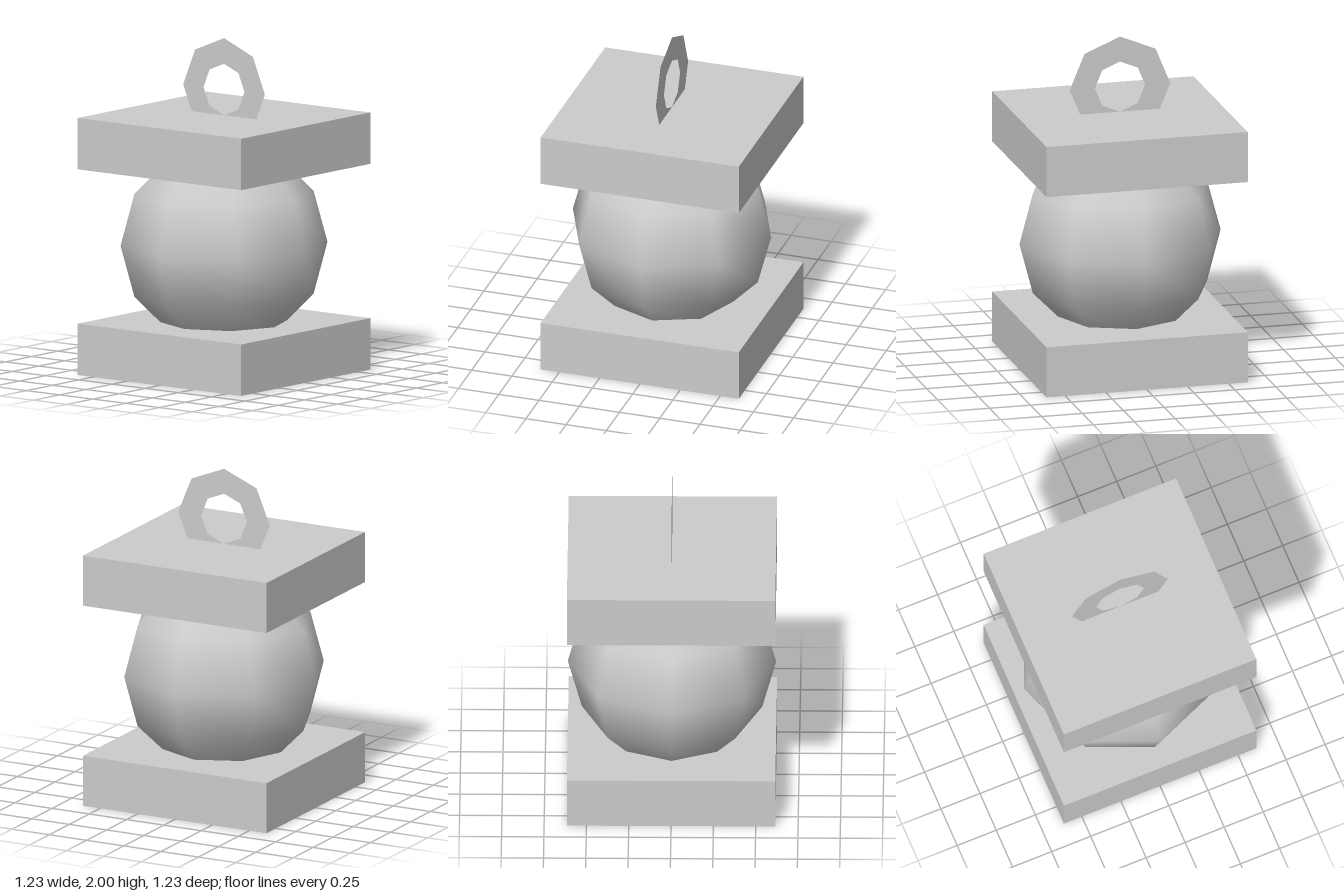
import * as THREE from 'three';

export function createModel() {
  const model = new THREE.Group();
  const u = 2 / 6.5; // one plate thickness
  const material = new THREE.MeshStandardMaterial({ color: 0xcccccc });
  const thinMaterial = new THREE.MeshStandardMaterial({ color: 0xcccccc, side: THREE.DoubleSide });

  function add(name, geometry, y, mat = material) {
    const mesh = new THREE.Mesh(geometry, mat);
    mesh.name = name;
    mesh.position.y = y * u;
    model.add(mesh);
  }

  // Square plates below and above the ball
  add('basePlate', new THREE.BoxGeometry(4 * u, u, 4 * u), 0.5);
  add('topPlate', new THREE.BoxGeometry(4 * u, u, 4 * u), 4.5);

  // Coarse smooth-shaded ball, its poles sunk into both plates
  add('ball', new THREE.SphereGeometry(2 * u, 8, 6), 2.5);

  // Paper-thin octagonal hanging ring, its lower edge sunk into the top plate
  add('hangingRing', new THREE.RingGeometry(0.5 * u, u, 8), 5.5, thinMaterial);

  return model;
}
